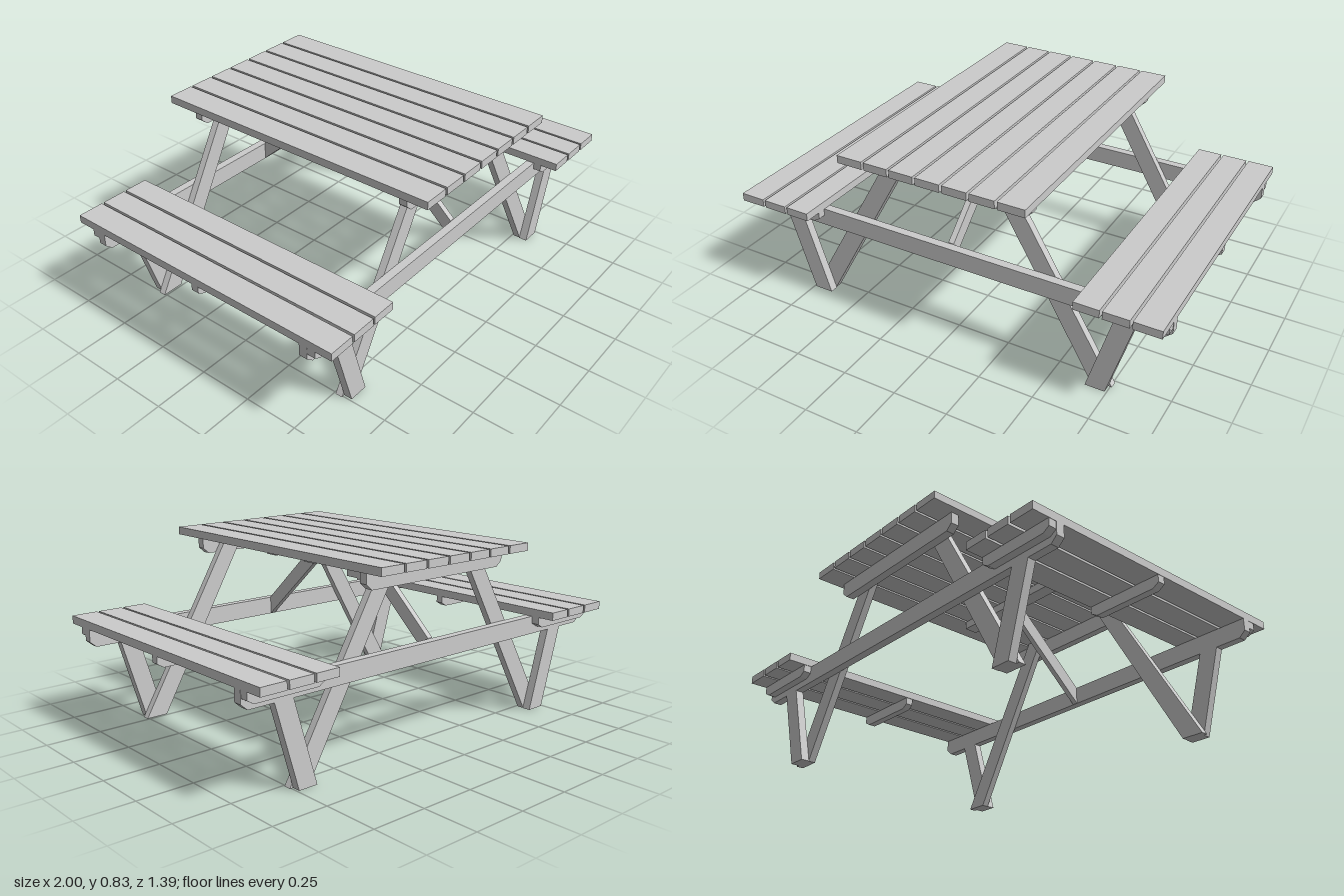
import * as THREE from 'three';

const material = new THREE.MeshStandardMaterial({ color: 0xcccccc, flatShading: true });

export function createModel() {
  const model = new THREE.Group();
  model.name = 'picnicTable';

  const add = (name, geometry) => {
    const mesh = new THREE.Mesh(geometry, material);
    mesh.name = name;
    model.add(mesh);
    return mesh;
  };

  // Box given by its limits on each axis
  const box = (name, x0, x1, y0, y1, z0, z1) =>
    add(name, new THREE.BoxGeometry(x1 - x0, y1 - y0, z1 - z0)
      .translate((x0 + x1) / 2, (y0 + y1) / 2, (z0 + z1) / 2));

  // Outline in the xy plane, extruded from z0 to z1
  const slab = (points, z0, z1) => {
    const shape = new THREE.Shape(points.map(([x, y]) => new THREE.Vector2(x, y)));
    return new THREE.ExtrudeGeometry(shape, { depth: z1 - z0, bevelEnabled: false }).translate(0, 0, z0);
  };

  // Bar along x with its lower corners cut off
  const chamferedBar = (name, x0, x1, y0, y1, z0, z1, cx, cy) =>
    add(name, slab([[x0 + cx, y0], [x1 - cx, y0], [x1, y0 + cy], [x1, y1], [x0, y1], [x0, y0 + cy]], z0, z1));

  const LENGTH = 0.695;

  // Tabletop: seven planks, the outer two slightly wider
  const gap = 0.011, outer = 0.12, inner = 0.112;
  let x = -0.433;
  for (let i = 0; i < 7; i++) {
    const width = i === 0 || i === 6 ? outer : inner;
    box('tablePlank', x, x + width, 0.8, 0.835, -LENGTH, LENGTH);
    x += width + gap;
  }

  // Inner tabletop cleats, end cleats and cross beams
  for (const s of [-1, 1]) {
    const span = (a, b) => (s > 0 ? [a, b] : [-b, -a]);
    box('innerTableCleat', -0.315, 0.315, 0.762, 0.8, ...span(0.097, 0.163));
    chamferedBar('endTableCleat', -0.4, 0.4, 0.722, 0.8, ...span(0.541, 0.579), 0.03, 0.026);
    chamferedBar('crossBeam', -1, 1, 0.375, 0.457, ...span(0.541, 0.579), 0.03, 0.026);

    // Diagonal brace from the cross beam up to the inner cleat
    const brace = slab([[0.541, 0.376], [0.541, 0.46], [0.163, 0.799], [0.1, 0.799], [0.1, 0.767]], -0.013, 0.013);
    add('brace', brace.rotateY(s > 0 ? -Math.PI / 2 : Math.PI / 2));

    // Legs: long ones inside the beam, short ones below it
    for (const side of [-1, 1]) {
      const mirror = (points) => points.map(([px, py]) => [side * px, py]);
      add('longLeg', slab(mirror([[0.655, 0], [0.757, 0], [0.287, 0.8], [0.196, 0.8]]), ...span(0.508, 0.541)));
      add('shortLeg', slab(mirror([[0.652, 0], [0.741, 0], [0.851, 0.375], [0.762, 0.375]]), ...span(0.541, 0.579)));
    }
  }

  // Benches: three planks on three chamfered cleats
  for (const side of [-1, 1]) {
    const span = (a, b) => (side > 0 ? [a, b] : [-b, -a]);
    for (const [a, b] of [[0.637, 0.748], [0.759, 0.871], [0.882, 1]]) {
      box('benchPlank', ...span(a, b), 0.457, 0.493, -LENGTH, LENGTH);
    }
    for (const z of [-0.597, 0, 0.597]) {
      chamferedBar('benchCleat', ...span(0.64, 0.998), 0.406, 0.457, z - 0.018, z + 0.018, 0.03, 0.018);
    }
  }

  return model;
}
